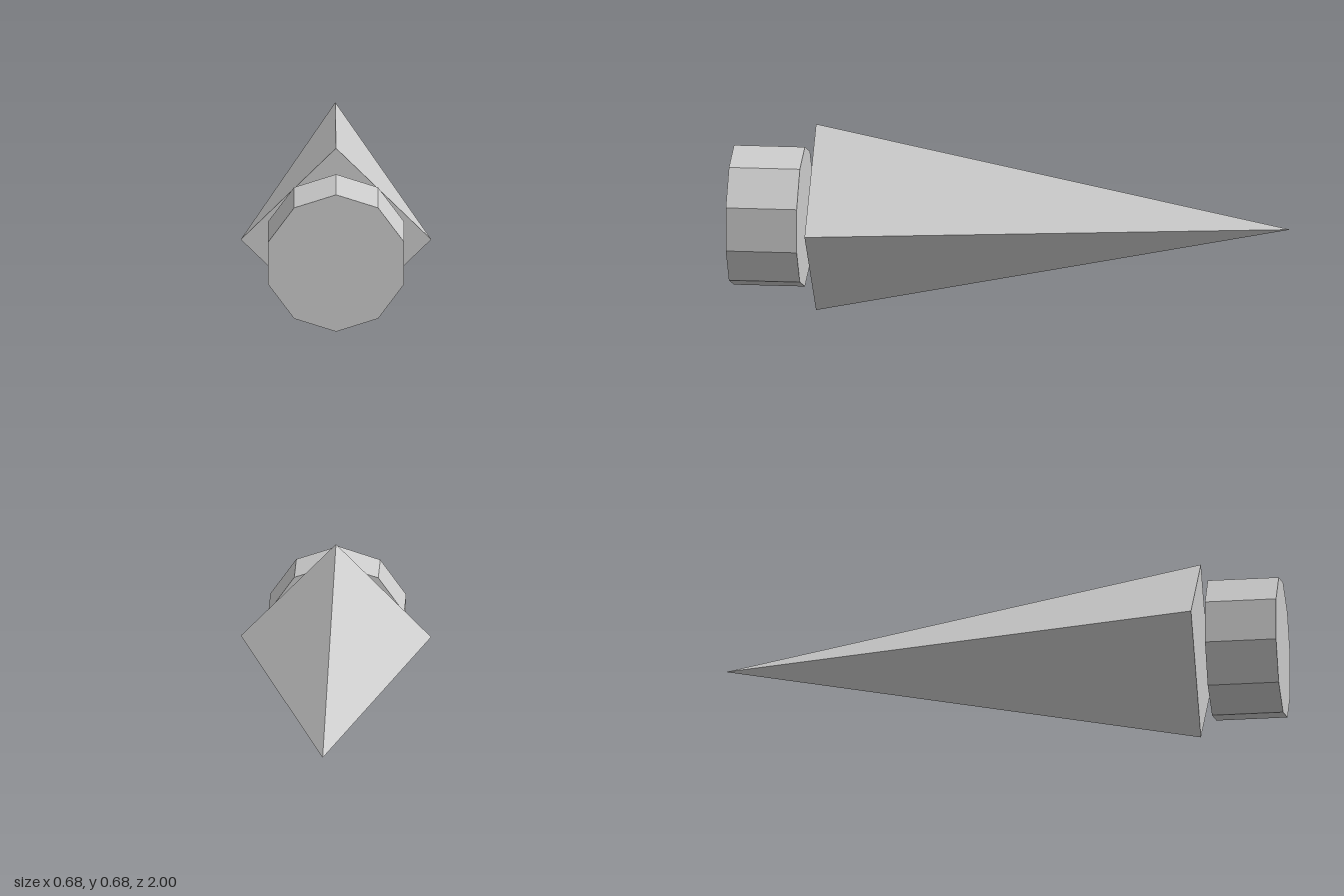
import * as THREE from 'three';

export function createModel() {
  const group = new THREE.Group();
  const grey = new THREE.MeshStandardMaterial({ color: 0xcccccc, flatShading: true });
  grey.name = 'light grey';

  // Adds a part lying along z, centred on the shared axis
  const addPart = (name, geometry, z) => {
    geometry.rotateX(-Math.PI / 2);
    const mesh = new THREE.Mesh(geometry, grey);
    mesh.name = name;
    mesh.position.set(0, 0.34, z);
    group.add(mesh);
  };

  // Four-sided spike pointing backwards, from z = 0.705 to z = -1
  addPart('spike', new THREE.ConeGeometry(0.34, 1.705, 4), -0.1475);

  // Ten-sided disc floating in front of the spike, from z = 0.745 to z = 1
  addPart('disc', new THREE.CylinderGeometry(0.255, 0.255, 0.255, 10), 0.8725);

  return group;
}
